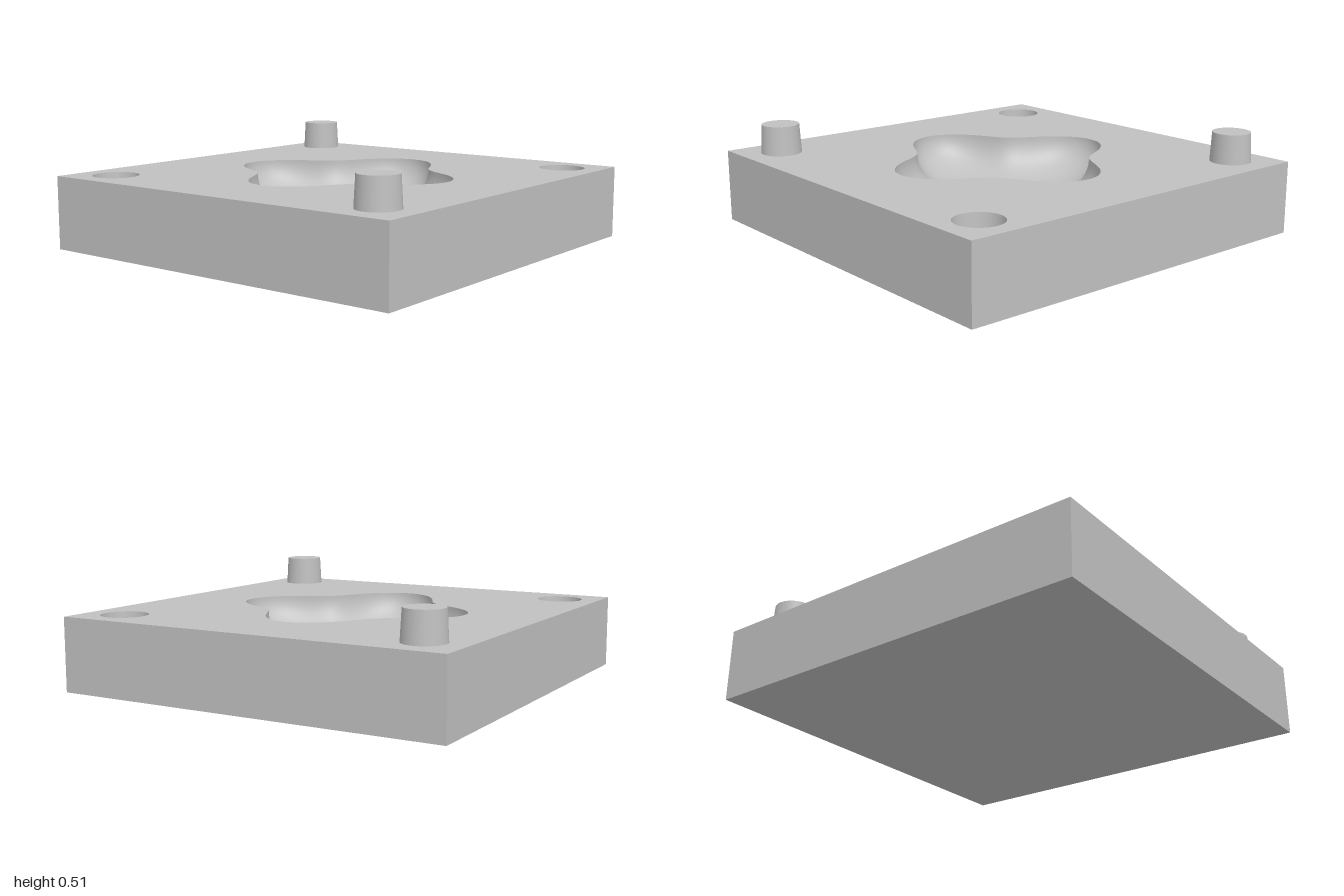
import * as THREE from 'three';
import { mergeVertices } from 'three/addons/utils/BufferGeometryUtils.js';

const TOP = 0.365;          // height of the plate's upper face
const PEG_TOP = 0.512;
const CORNER = 0.8;         // offset of pegs and sockets from the centre
const SOCKET = { rim: 0.115, floor: 0.106, depth: 0.16 };
const CAVITY_DEPTH = 0.21;
const CAVITY_SEGMENTS = 128;

// Four-lobed outline of the cavity
const lobeRadius = (angle) => 0.525 + 0.09 * Math.cos(4 * angle);

// Closed loop of points around (cx, cy) with a radius given by angle
function loop(cx, cy, radius, segments) {
  return Array.from({ length: segments }, (_, i) => {
    const a = (i / segments) * Math.PI * 2;
    return new THREE.Vector2(cx + radius(a) * Math.sin(a), cy + radius(a) * Math.cos(a));
  });
}

// Upper face, pierced by the cavity and the two sockets
function topFace() {
  const shape = new THREE.Shape([[-1, -1], [1, -1], [1, 1], [-1, 1]].map(([x, y]) => new THREE.Vector2(x, y)));
  shape.holes.push(new THREE.Path(loop(0, 0, lobeRadius, CAVITY_SEGMENTS)));
  for (const s of [-1, 1]) {
    shape.holes.push(new THREE.Path(loop(s * CORNER, -s * CORNER, () => SOCKET.rim, 32)));
  }
  return new THREE.ShapeGeometry(shape).rotateX(-Math.PI / 2).translate(0, TOP, 0);
}

// Sides and underside: a box without its upper face
function openBox() {
  const box = new THREE.BoxGeometry(2, TOP, 2).translate(0, TOP / 2, 0);
  const index = Array.from(box.index.array);
  index.splice(12, 6);
  box.setIndex(index);
  box.clearGroups();
  return box;
}

// Rounded bowl, steep at the rim and flat in the middle
function cavityBowl() {
  const steps = 28;
  const profile = [];
  for (let i = 0; i <= steps; i++) {
    const u = (i / steps) * Math.PI / 2;
    const t = i === steps ? 0 : Math.sqrt(Math.cos(u));
    profile.push(new THREE.Vector2(t, TOP - CAVITY_DEPTH * Math.sin(u)));
  }
  const lathe = new THREE.LatheGeometry(profile, CAVITY_SEGMENTS);
  const p = lathe.attributes.position;
  for (let i = 0; i < p.count; i++) {
    const r = lobeRadius(Math.atan2(p.getX(i), p.getZ(i)));
    p.setX(i, p.getX(i) * r);
    p.setZ(i, p.getZ(i) * r);
  }
  lathe.deleteAttribute('normal');
  lathe.deleteAttribute('uv');
  const bowl = mergeVertices(lathe, 1e-5);
  bowl.computeVertexNormals();
  return bowl;
}

export function createModel() {
  const model = new THREE.Group();
  model.name = 'mouldHalf';
  const grey = new THREE.MeshStandardMaterial({ name: 'plain grey', color: 0xc0c0c0 });

  const add = (name, geometry, parent = model) => {
    const mesh = new THREE.Mesh(geometry, grey);
    mesh.name = name;
    parent.add(mesh);
    return mesh;
  };

  // Plate
  const plate = new THREE.Group();
  plate.name = 'plate';
  model.add(plate);
  add('plateSides', openBox(), plate);
  add('plateTop', topFace(), plate);
  add('cavity', cavityBowl(), plate);

  for (const s of [-1, 1]) {
    // Tapered locating peg
    const pegHeight = PEG_TOP - TOP;
    add('peg', new THREE.CylinderGeometry(0.094, 0.102, pegHeight, 32))
      .position.set(s * CORNER, TOP + pegHeight / 2, -s * CORNER);

    // Matching socket in the opposite corner
    const floorY = TOP - SOCKET.depth;
    const wall = [new THREE.Vector2(SOCKET.rim, TOP), new THREE.Vector2(SOCKET.floor, floorY)];
    add('socketWall', new THREE.LatheGeometry(wall, 32)).position.set(s * CORNER, 0, s * CORNER);
    add('socketFloor', new THREE.CircleGeometry(SOCKET.floor, 32).rotateX(-Math.PI / 2))
      .position.set(s * CORNER, floorY, s * CORNER);
  }
  return model;
}
